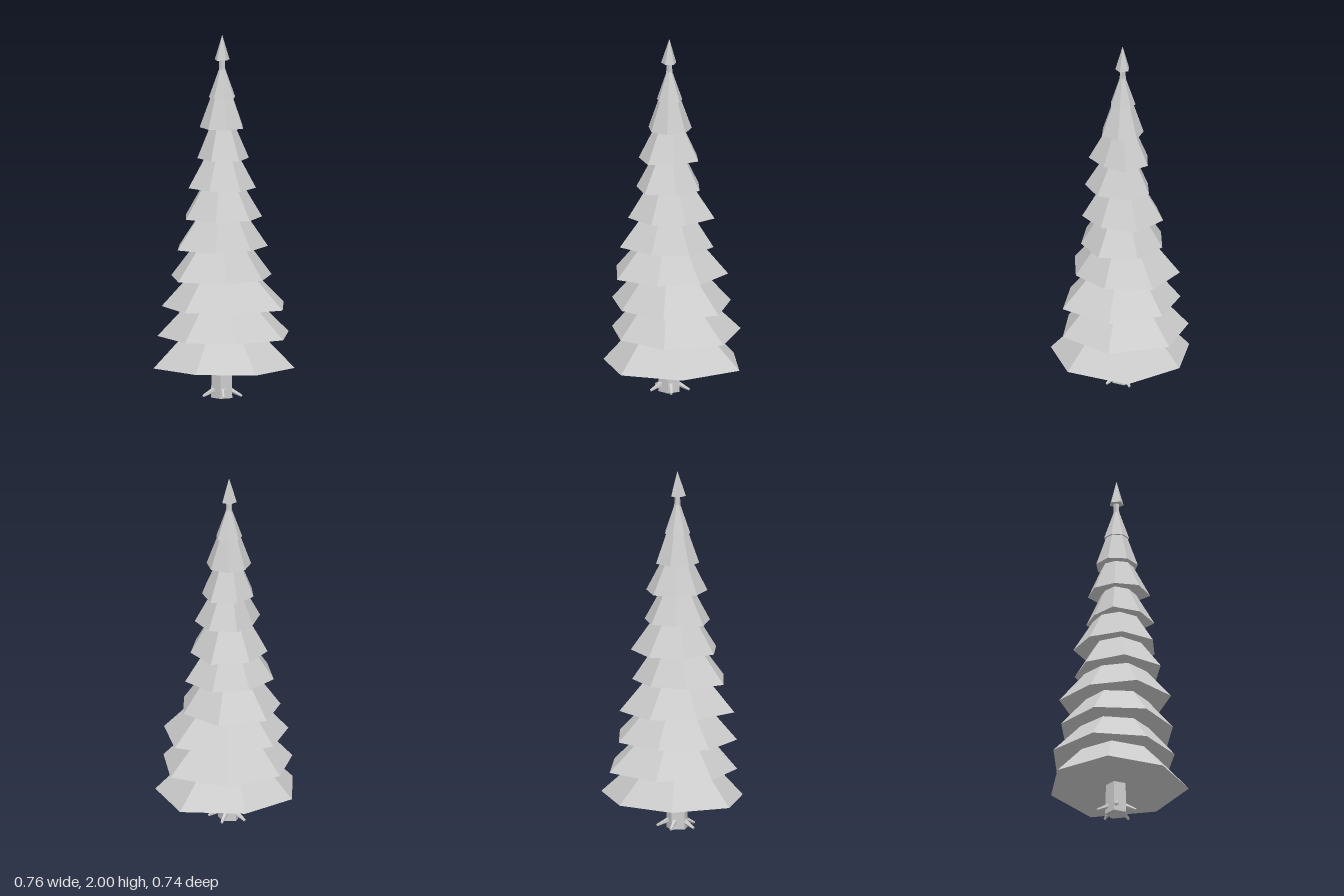
import * as THREE from 'three';

const CX = -0.027, CZ = 0.02; // trunk axis

// Each tier, bottom to tip: cone height, angle of first corner (degrees), corner radii
const TIERS = [
  [0.4, 1.5, 0.402, 0.397, 0.36, 0.388, 0.378, 0.379, 0.435],
  [0.38, 16, 0.368, 0.321, 0.328, 0.353, 0.36, 0.392, 0.403],
  [0.37, 16.5, 0.366, 0.311, 0.328, 0.33, 0.315, 0.338, 0.371],
  [0.375, 25.5, 0.268, 0.313, 0.323, 0.281, 0.315, 0.321, 0.281],
  [0.37, 37, 0.228, 0.277, 0.283, 0.247, 0.229, 0.247, 0.25],
  [0.365, 38, 0.222, 0.23, 0.226, 0.213, 0.236, 0.254, 0.218],
  [0.34, 0.5, 0.187, 0.208, 0.18, 0.191, 0.144, 0.174, 0.186],
  [0.335, -1, 0.147, 0.186, 0.167, 0.142, 0.144, 0.163, 0.176],
  [0.34, 17, 0.126, 0.118, 0.12, 0.123, 0.115, 0.123, 0.123],
  [0.205, 17, 0.072, 0.07, 0.071, 0.073, 0.07, 0.071, 0.078],
  [0.138, 46, 0.04, 0.047, 0.043, 0.04, 0.042],
];

// Closed faceted cone whose corners are evenly turned but unevenly long
function tierGeometry(height, startDegrees, radii) {
  const corner = (i) => {
    const k = i % radii.length;
    const a = THREE.MathUtils.degToRad(startDegrees) + (k / radii.length) * Math.PI * 2;
    return [Math.cos(a) * radii[k], 0, Math.sin(a) * radii[k]];
  };
  const pos = [];
  radii.forEach((_, i) => {
    const a = corner(i), b = corner(i + 1);
    pos.push(...a, 0, height, 0, ...b); // sloping face
    pos.push(...a, ...b, 0, 0, 0); // underside
  });
  const g = new THREE.BufferGeometry();
  g.setAttribute('position', new THREE.Float32BufferAttribute(pos, 3));
  g.computeVertexNormals();
  return g;
}

export function createModel() {
  const tree = new THREE.Group();
  tree.name = 'firTree';
  const grey = new THREE.MeshStandardMaterial({ color: 0xcccccc, flatShading: true });
  grey.name = 'paleGrey';

  const add = (name, geometry) => {
    const mesh = new THREE.Mesh(geometry, grey);
    mesh.name = name;
    tree.add(mesh);
    return mesh;
  };

  // Evenly stacked branch tiers, with a small raised tip
  TIERS.forEach(([height, start, ...radii], i) => {
    const y = i === TIERS.length - 1 ? 2 - height : 0.174 + i * 0.1645;
    add(`branchTier${i + 1}`, tierGeometry(height, start, radii)).position.set(CX, y, CZ);
  });

  // Tapered five-sided trunk running up to the tip
  add('trunk', new THREE.CylinderGeometry(0.016, 0.062, 1.88, 5, 1)).position.set(CX, 0.94, CZ);

  // Roots spreading from the trunk foot to the ground
  const up = new THREE.Vector3(0, 1, 0);
  for (let i = 0; i < 5; i++) {
    const a = 0.1 + (i / 5) * Math.PI * 2;
    const from = new THREE.Vector3(CX + Math.cos(a) * 0.035, 0.05, CZ + Math.sin(a) * 0.035);
    const to = new THREE.Vector3(CX + Math.cos(a) * 0.112, 0.012, CZ + Math.sin(a) * 0.112);
    const dir = to.clone().sub(from);
    const root = add(`root${i + 1}`, new THREE.CylinderGeometry(0.007, 0.017, dir.length(), 5));
    root.position.copy(from).add(to).multiplyScalar(0.5);
    root.quaternion.setFromUnitVectors(up, dir.normalize());
  }
  return tree;
}
